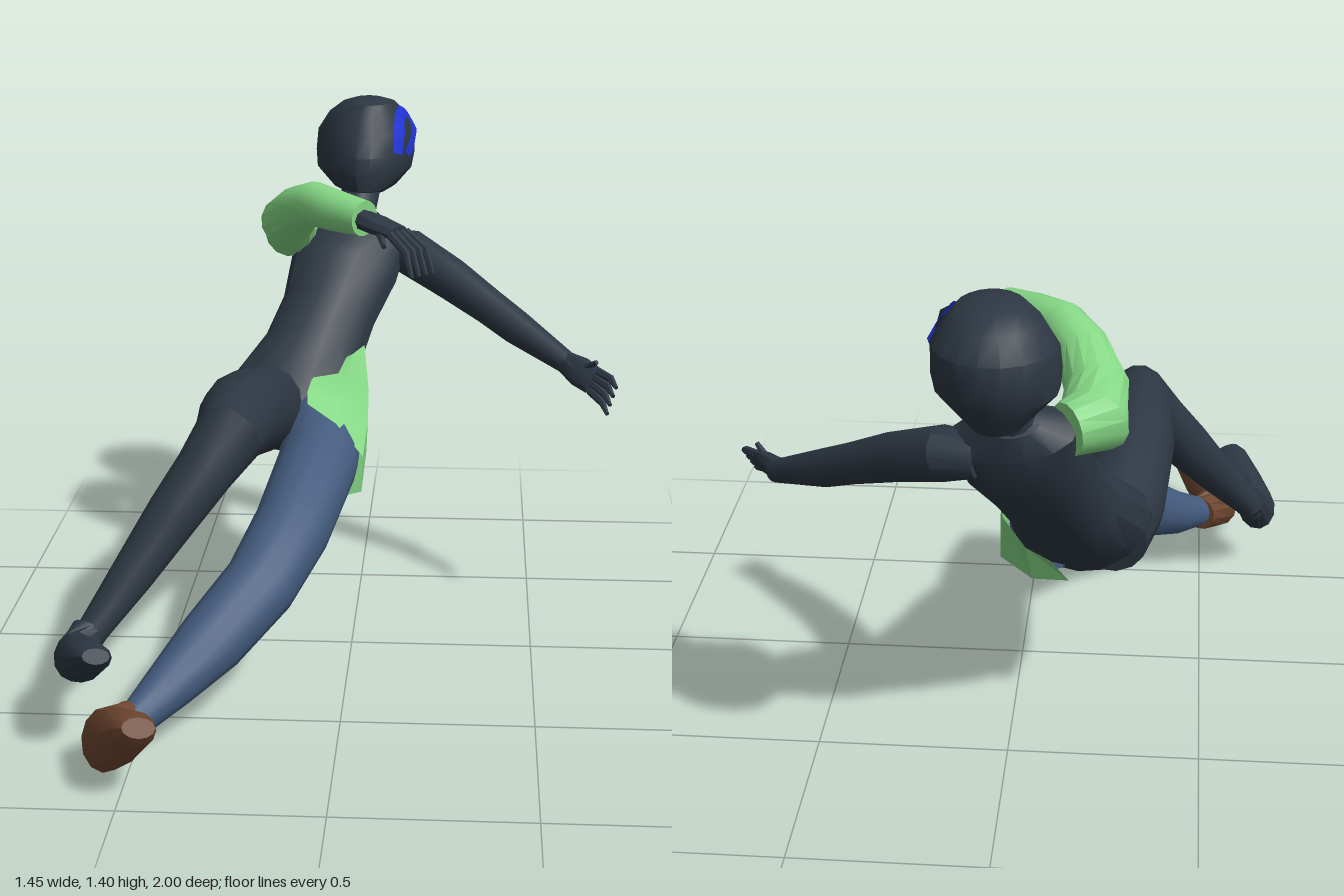
import * as THREE from 'three';
import { toCreasedNormals } from 'three/addons/utils/BufferGeometryUtils.js';

const CREASE = 0.55;
const mat = (name, color, extra) => {
  const m = new THREE.MeshStandardMaterial({ color, ...extra });
  m.name = name;
  return m;
};
const V = (p) => new THREE.Vector3(p[0], p[1], p[2]);

function geometryFrom(pos, idx) {
  const g = new THREE.BufferGeometry();
  g.setAttribute('position', new THREE.Float32BufferAttribute(pos, 3));
  g.setIndex(idx);
  return toCreasedNormals(g, CREASE);
}

// Closed loft through rows [x, y, z, halfWidth, halfDepth]; `side` is the width direction.
// Rings stand square to the path, or to `axis` when it is given.
function loft(rows, side, sides = 14, axis = null) {
  const pos = [], idx = [], n = rows.length;
  rows.forEach((r, i) => {
    const c = V(r);
    const a = V(rows[Math.max(i - 1, 0)]), b = V(rows[Math.min(i + 1, n - 1)]);
    const t = axis ? V(axis) : b.sub(a).normalize();
    const u = V(side).addScaledVector(t, -V(side).dot(t)).normalize();
    const v = t.clone().cross(u);
    for (let j = 0; j < sides; j++) {
      const ang = (j / sides) * Math.PI * 2;
      const p = c.clone().addScaledVector(u, r[3] * Math.cos(ang))
        .addScaledVector(v, (r[4] ?? r[3]) * Math.sin(ang));
      pos.push(p.x, p.y, p.z);
    }
  });
  pos.push(...rows[0].slice(0, 3), ...rows[n - 1].slice(0, 3));
  const first = n * sides, last = first + 1, end = (n - 1) * sides;
  for (let j = 0; j < sides; j++) {
    const k = (j + 1) % sides;
    for (let i = 0; i < n - 1; i++) {
      const p = i * sides, q = p + sides;
      idx.push(p + j, p + k, q + k, p + j, q + k, q + j);
    }
    idx.push(first, k, j, last, end + j, end + k);
  }
  return geometryFrom(pos, idx);
}

// Open sheet from a grid of points
function sheet(rows) {
  const w = rows[0].length, idx = [];
  for (let i = 0; i < rows.length - 1; i++) {
    for (let j = 0; j < w - 1; j++) {
      const a = i * w + j, b = a + w;
      idx.push(a, b, b + 1, a, b + 1, a + 1);
    }
  }
  return geometryFrom(rows.flat(2), idx);
}

export function createModel() {
  const dark = mat('charcoal', 0x2d3742);
  const green = mat('light green', 0x86d886, { side: THREE.DoubleSide });
  const denim = mat('denim blue', 0x435b7d);
  const brown = mat('boot brown', 0x6e4630);
  const blue = mat('bright blue', 0x1f33d6, { side: THREE.DoubleSide });

  const model = new THREE.Group();
  model.name = 'recliningFigure';
  const add = (name, geometry, material, parent = model) => {
    const m = new THREE.Mesh(geometry, material);
    m.name = name;
    parent.add(m);
  };
  const X = [1, 0, 0], Y = [0, 1, 0];

  // Torso, from neckline to crotch
  add('torso', loft([
    [-0.03, 1.07, -0.745, 0.07, 0.045],
    [-0.03, 1.025, -0.715, 0.16, 0.08],
    [-0.06, 0.93, -0.64, 0.16, 0.11],
    [-0.10, 0.82, -0.55, 0.14, 0.105],
    [-0.14, 0.725, -0.465, 0.145, 0.11],
    [-0.18, 0.63, -0.375, 0.185, 0.115],
    [-0.20, 0.56, -0.30, 0.16, 0.11],
    [-0.20, 0.51, -0.25, 0.09, 0.06],
  ], [1, -0.1, 0]), dark);
  add('neck', loft([
    [-0.03, 1.02, -0.70, 0.08, 0.07],
    [-0.025, 1.09, -0.735, 0.055, 0.055],
    [-0.01, 1.19, -0.79, 0.06, 0.06],
  ], X), dark);

  // Head, narrowed towards the face
  const headRows = [
    [-0.01, 1.12, -0.86, 0.06, 0.075],
    [-0.01, 1.15, -0.81, 0.10, 0.145],
    [-0.01, 1.20, -0.82, 0.145, 0.165],
    [-0.007, 1.25, -0.83, 0.150, 0.17],
    [-0.005, 1.31, -0.845, 0.145, 0.15],
    [-0.003, 1.365, -0.84, 0.112, 0.12],
    [0.003, 1.395, -0.825, 0.08, 0.085],
    [0.003, 1.408, -0.82, 0.04, 0.04],
  ];
  const pinch = (x, z) => x * (1 - 0.22 * THREE.MathUtils.clamp((z + 0.84) / 0.16, 0, 1));
  const head = loft(headRows, X, 18, Y);
  const hp = head.attributes.position;
  for (let i = 0; i < hp.count; i++) hp.setX(i, pinch(hp.getX(i), hp.getZ(i)));
  add('head', toCreasedNormals(head, CREASE), dark);

  // Arched mark laid on the left side of the head
  const onHead = (y, z) => {
    const i = headRows.findIndex((r) => r[1] > y);
    const a = headRows[i - 1], b = headRows[i], f = (y - a[1]) / (b[1] - a[1]);
    const [cx, , cz, rx, rz] = a.map((v, k) => v + (b[k] - v) * f);
    const x = cx + rx * Math.sqrt(Math.max(0, 1 - ((z - cz) / rz) ** 2));
    return [pinch(x, z) + 0.006, y + 0.002, z + 0.003];
  };
  const arch = new THREE.CatmullRomCurve3([
    [1.255, -0.722], [1.315, -0.752], [1.355, -0.782], [1.368, -0.815],
    [1.34, -0.838], [1.295, -0.81], [1.245, -0.765],
  ].map(([y, z]) => new THREE.Vector3(0, y, z)));
  const edges = [[], [], []];
  for (let i = 0; i <= 28; i++) {
    const p = arch.getPoint(i / 28), t = arch.getTangent(i / 28);
    [-0.016, 0, 0.016].forEach((o, k) => edges[k].push(onHead(p.y - t.z * o, p.z + t.y * o)));
  }
  add('sideMark', sheet(edges), blue);

  // Arms
  add('rightSleeve', loft([
    [-0.16, 1.04, -0.71, 0.065],
    [-0.22, 1.045, -0.665, 0.088],
    [-0.22, 1.085, -0.56, 0.078],
    [-0.18, 1.14, -0.47, 0.068],
    [-0.13, 1.17, -0.405, 0.063],
    [-0.06, 1.165, -0.33, 0.058],
    [0.02, 1.16, -0.26, 0.05],
  ], Y), green);
  add('leftArm', loft([
    [0.05, 0.97, -0.72, 0.055],
    [0.13, 0.965, -0.705, 0.068],
    [0.26, 0.905, -0.61, 0.062],
    [0.37, 0.845, -0.53, 0.053],
    [0.45, 0.80, -0.47, 0.05],
    [0.61, 0.72, -0.34, 0.03],
  ], Y), dark);

  // Hands: palm, four curled fingers and a thumb
  const hand = (name, wrist, knuckle, mid, tip, side, thumbTip) => {
    const g = new THREE.Group();
    g.name = name;
    model.add(g);
    const s = V(side).normalize();
    const shifted = (p, o, r) => [...V(p).addScaledVector(s, o).toArray(), r];
    const half = wrist.map((v, i) => (v + knuckle[i]) / 2);
    add('palm', loft([
      [...wrist, 0.032, 0.03], [...half, 0.043, 0.027], [...knuckle, 0.04, 0.018],
    ], side, 8), dark, g);
    for (let i = 0; i < 4; i++) {
      const o = (i - 1.5) * 0.02;
      add('finger', loft([
        shifted(knuckle, o, 0.012), shifted(mid, o * 1.2, 0.011), shifted(tip, o * 1.3, 0.006),
      ], side, 6), dark, g);
    }
    add('thumb', loft([[...half, 0.016], [...thumbTip, 0.007]], side, 6), dark, g);
  };
  hand('rightHand', [0.0, 1.16, -0.275], [0.115, 1.14, -0.175], [0.165, 1.10, -0.135],
    [0.185, 1.035, -0.115], [0.7, 0, -0.7], [0.08, 1.11, -0.13]);
  hand('leftHand', [0.59, 0.73, -0.355], [0.665, 0.705, -0.255], [0.70, 0.69, -0.21],
    [0.712, 0.672, -0.175], [0.3, 0.8, -0.4], [0.672, 0.758, -0.26]);

  // Legs
  add('rightLeg', loft([
    [-0.25, 0.59, -0.40, 0.10],
    [-0.27, 0.61, -0.25, 0.12, 0.125],
    [-0.295, 0.67, 0.0, 0.115, 0.12],
    [-0.30, 0.69, 0.14, 0.105, 0.105],
    [-0.305, 0.69, 0.24, 0.09, 0.10],
    [-0.365, 0.61, 0.295, 0.08, 0.075],
    [-0.44, 0.51, 0.35, 0.072, 0.07],
    [-0.54, 0.37, 0.43, 0.058, 0.052],
    [-0.63, 0.25, 0.51, 0.042],
    [-0.655, 0.21, 0.535, 0.04],
  ], X), dark);
  add('leftLeg', loft([
    [-0.10, 0.59, -0.39, 0.09],
    [-0.10, 0.545, -0.25, 0.115],
    [-0.10, 0.50, -0.10, 0.112],
    [-0.15, 0.41, 0.18, 0.105],
    [-0.22, 0.315, 0.35, 0.097],
    [-0.33, 0.22, 0.50, 0.088],
    [-0.42, 0.15, 0.61, 0.066],
    [-0.495, 0.10, 0.72, 0.045],
  ], X), denim);

  // Feet, ankle round the heel to the toe
  const footSide = [0.9, -0.15, -0.35];
  add('leftBoot', loft([
    [-0.50, 0.10, 0.705, 0.05, 0.05],
    [-0.555, 0.085, 0.795, 0.06, 0.083],
    [-0.505, 0.138, 0.878, 0.06, 0.07],
    [-0.457, 0.195, 0.955, 0.057, 0.045],
    [-0.44, 0.212, 0.982, 0.042, 0.025],
  ], footSide, 12), brown);
  add('rightFoot', loft([
    [-0.64, 0.25, 0.51, 0.045, 0.045],
    [-0.667, 0.20, 0.57, 0.055, 0.073],
    [-0.63, 0.235, 0.66, 0.055, 0.057],
    [-0.59, 0.28, 0.745, 0.05, 0.036],
    [-0.575, 0.295, 0.772, 0.035, 0.02],
  ], footSide, 12), dark);

  // Open cloth wrapped over the left hip
  add('hipCloth', sheet([
    [[-0.10, 0.70, -0.36], [-0.02, 0.735, -0.385], [0.012, 0.75, -0.43],
      [0.01, 0.70, -0.51], [-0.05, 0.635, -0.545], [-0.11, 0.59, -0.525]],
    [[-0.13, 0.69, -0.27], [-0.03, 0.69, -0.30], [0.028, 0.63, -0.36],
      [0.022, 0.55, -0.44], [-0.06, 0.495, -0.45], [-0.15, 0.465, -0.40]],
    [[-0.135, 0.68, -0.19], [-0.04, 0.65, -0.20], [0.032, 0.58, -0.23],
      [0.025, 0.47, -0.29], [-0.05, 0.425, -0.31], [-0.11, 0.415, -0.28]],
    [[-0.13, 0.665, -0.12], [-0.05, 0.612, -0.11], [0.025, 0.52, -0.10],
      [0.02, 0.41, -0.12], [-0.04, 0.38, -0.16], [-0.065, 0.37, -0.18]],
  ]), green);

  return model;
}
